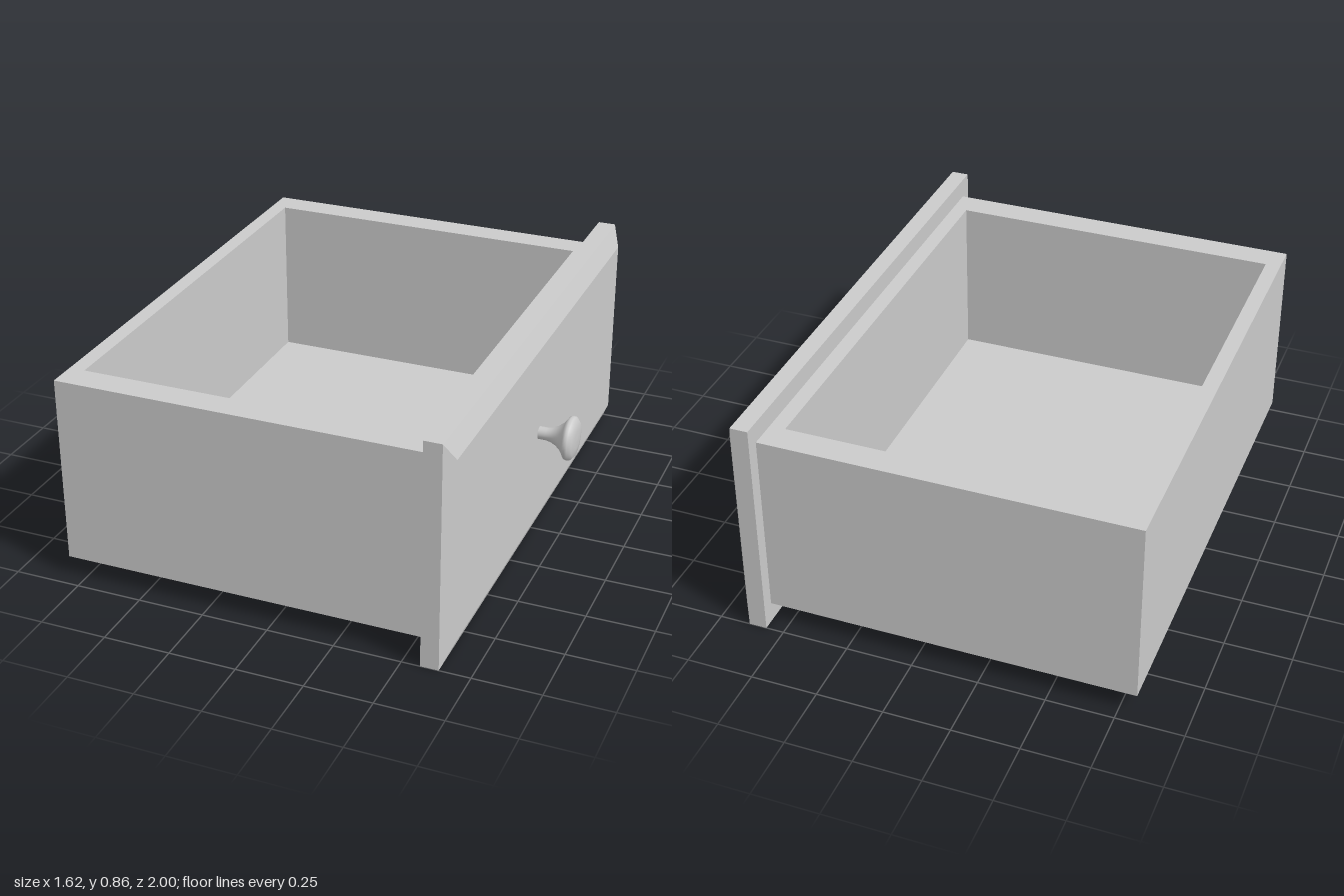
import * as THREE from 'three';

const material = new THREE.MeshStandardMaterial({ color: 0xcccccc });

// Closed solid through rectangular rings [x0, x1, z0, z1, y], capped at both ends
function rectLoft(rings) {
  const loops = rings.map(([x0, x1, z0, z1, y]) =>
    [[x0, y, z1], [x1, y, z1], [x1, y, z0], [x0, y, z0]]);
  const pos = [];
  const quad = (a, b, c, d) => pos.push(...a, ...b, ...c, ...a, ...c, ...d);
  quad(...[...loops[0]].reverse());
  for (let r = 0; r < loops.length - 1; r++) {
    for (let i = 0; i < 4; i++) {
      const j = (i + 1) % 4;
      quad(loops[r][i], loops[r][j], loops[r + 1][j], loops[r + 1][i]);
    }
  }
  quad(...loops[loops.length - 1]);
  const geometry = new THREE.BufferGeometry();
  geometry.setAttribute('position', new THREE.Float32BufferAttribute(pos, 3));
  geometry.computeVertexNormals();
  return geometry;
}

export function createModel() {
  const group = new THREE.Group();
  const add = (name, geometry) => {
    const mesh = new THREE.Mesh(geometry, material);
    mesh.name = name;
    group.add(mesh);
    return mesh;
  };

  // Open tray: up the outside, over the rim, down to the inner floor
  add('drawerBox', rectLoft([
    [-0.813, 0.57, -0.95, 0.943, 0.077],
    [-0.813, 0.57, -0.95, 0.943, 0.788],
    [-0.755, 0.51, -0.843, 0.835, 0.788],
    [-0.755, 0.51, -0.843, 0.835, 0.16],
  ]));

  // Front panel with bevelled border, lofted upwards then laid towards +x
  add('frontPanel', rectLoft([
    [-0.863, 0, -1, 1, 0.568],
    [-0.863, 0, -1, 1, 0.635],
    [-0.788, -0.075, -0.95, 0.95, 0.667],
  ]).rotateZ(-Math.PI / 2));

  // Turned knob: slim stem, flared neck, and a shallow domed face
  const profile = [
    [0.024, 0], [0.024, 0.03], [0.028, 0.05], [0.037, 0.07], [0.053, 0.09],
    [0.07, 0.103], [0.08, 0.109], [0.083, 0.118], [0.081, 0.128],
    [0.066, 0.141], [0.035, 0.145], [0, 0.146],
  ].map(([r, h]) => new THREE.Vector2(r, h));
  const knob = add('knob', new THREE.LatheGeometry(profile, 40));
  knob.rotation.z = -Math.PI / 2;
  knob.position.set(0.666, 0.439, 0.047);

  return group;
}
